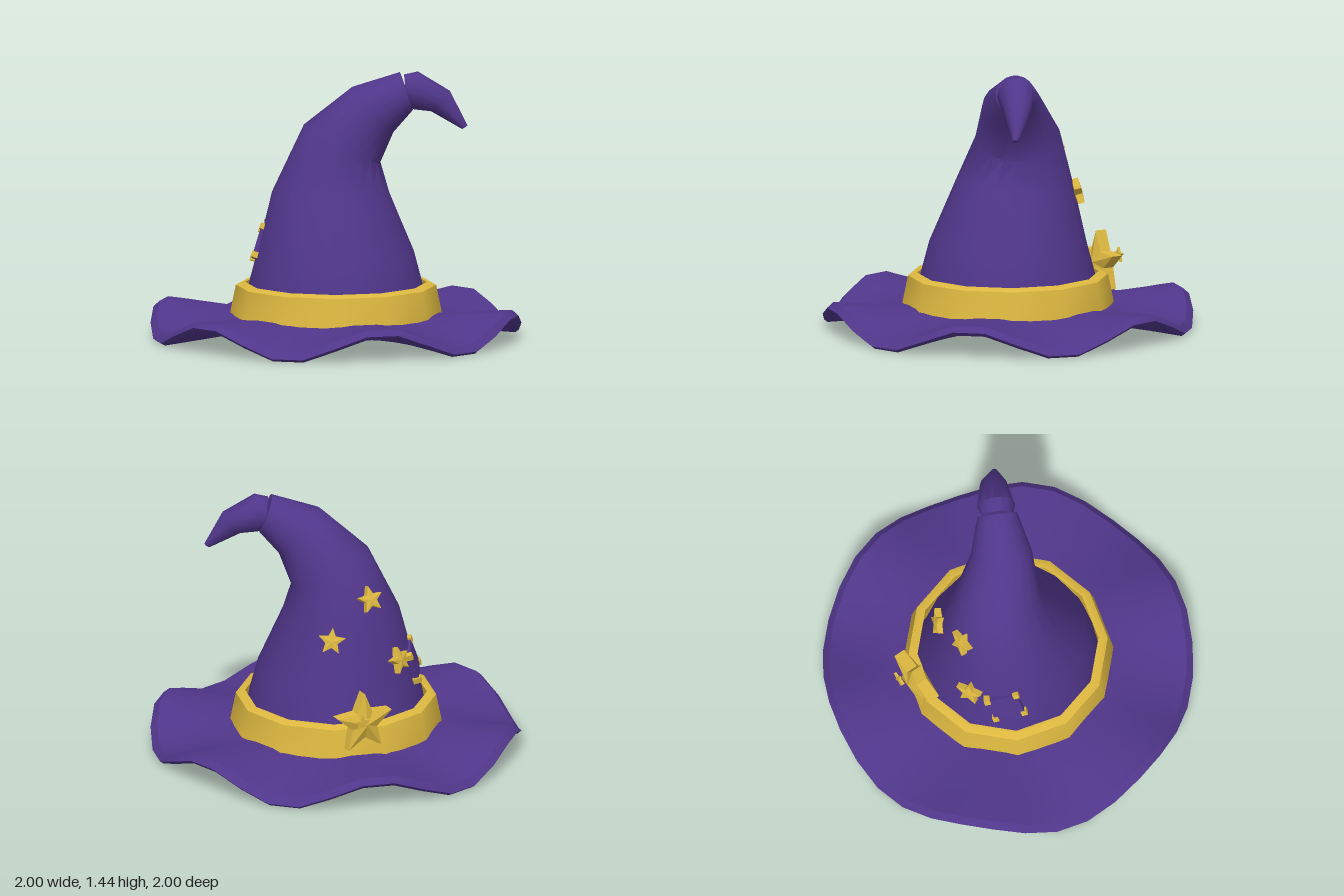
import * as THREE from 'three';
import { toCreasedNormals } from 'three/addons/utils/BufferGeometryUtils.js';

const purple = new THREE.MeshStandardMaterial({ color: 0x50368a });
purple.name = 'purple felt';
const gold = new THREE.MeshStandardMaterial({ color: 0xddb840 });
gold.name = 'gold';

const V = (x, y, z) => new THREE.Vector3(x, y, z);

// Skin a list of closed rings; point(i, angle) gives a vertex of ring i
function loft(ringCount, sides, point, crease) {
  const pos = [], index = [];
  for (let i = 0; i < ringCount; i++)
    for (let j = 0; j < sides; j++) pos.push(...point(i, (j / sides) * Math.PI * 2).toArray());
  for (let i = 0; i < ringCount - 1; i++)
    for (let j = 0; j < sides; j++) {
      const k = (j + 1) % sides;
      const a = i * sides + j, b = i * sides + k, c = b + sides, d = a + sides;
      index.push(a, b, c, a, c, d);
    }
  const g = new THREE.BufferGeometry();
  g.setAttribute('position', new THREE.Float32BufferAttribute(pos, 3));
  g.setIndex(index);
  return toCreasedNormals(g, crease);
}

// Bent cone: stations are [x, y, z, radius, axis]
function bentCone(stations, sides) {
  const rings = stations.map(([x, y, z, r, axis]) => ({
    c: V(x, y, z), r,
    q: new THREE.Quaternion().setFromUnitVectors(V(0, 1, 0), V(...axis).normalize()),
  }));
  return loft(rings.length, sides, (i, a) =>
    V(Math.sin(a), 0, Math.cos(a)).multiplyScalar(rings[i].r).applyQuaternion(rings[i].q).add(rings[i].c), 0.75);
}

// Five-pointed star with a straight rim and a raised centre on both faces
function starGeometry(radius, rim, bulge) {
  const pts = [], tri = (...v) => v.forEach((p) => pts.push(p.x, p.y, p.z));
  const corner = (i, z) => {
    const r = i % 2 ? radius * 0.45 : radius, a = Math.PI / 2 + (i * Math.PI) / 5;
    return V(r * Math.cos(a), r * Math.sin(a), z);
  };
  for (let i = 0; i < 10; i++) {
    const f0 = corner(i, rim), f1 = corner(i + 1, rim), b0 = corner(i, -rim), b1 = corner(i + 1, -rim);
    tri(f0, f1, V(0, 0, bulge));
    tri(b1, b0, V(0, 0, -bulge));
    tri(b0, b1, f1);
    tri(b0, f1, f0);
  }
  const g = new THREE.BufferGeometry();
  g.setAttribute('position', new THREE.Float32BufferAttribute(pts, 3));
  g.computeVertexNormals();
  return g;
}

export function createModel() {
  const hat = new THREE.Group();
  hat.name = 'pointedHat';
  const add = (parent, name, geometry, material) => {
    const m = new THREE.Mesh(geometry, material);
    m.name = name;
    parent.add(m);
    return m;
  };
  // Place a part so its face looks along a normal
  const face = (obj, position, normal, roll = 0) => {
    obj.position.set(...position);
    obj.lookAt(V(...position).add(V(...normal)));
    obj.rotateZ(roll);
  };

  // Wavy brim: closed [radius, height] profile, six waves growing outwards
  const radii = [0.5, 0.6, 0.7, 0.8, 0.9];
  const brim = [
    ...radii.map((r) => [r, 0.065 - 0.02 * (1 - r)]),
    [0.98, 0.065], [1, 0.082], [0.965, 0.117],
    ...radii.map((r) => [r, 0.117 + 0.046 * (1 - r)]).reverse(),
    [0.5, 0.055],
  ];
  add(hat, 'brim', loft(brim.length, 36, (i, a) => {
    const [r, y] = brim[i], wave = 0.073 * (r - 0.5) / 0.5;
    return V(r * Math.sin(a), y - wave * Math.sin(6 * a), r * Math.cos(a));
  }, 0.6), purple);

  // Crown, leaning over towards the tip
  add(hat, 'crown', bentCone([
    [0, 0.09, 0, 0.001, [0, 1, 0]],
    [0, 0.09, 0, 0.508, [0, 1, 0]],
    [0, 0.3, 0, 0.47, [0, 1, 0]],
    [0, 0.47, 0, 0.425, [0, 1, 0]],
    [-0.005, 0.79, -0.05, 0.317, [0.03, 1, -0.06]],
    [0.055, 1.05, -0.03, 0.23, [0.4, 1, 0.27]],
    [0.18, 1.24, 0.085, 0.165, [0.85, 0.9, 0.5]],
    [0.34, 1.34, 0.17, 0.108, [0.85, 0.33, 0.45]],
    [0.34, 1.34, 0.17, 0.001, [0.85, 0.33, 0.45]],
  ], 20), purple);

  // Drooping tip
  add(hat, 'tip', bentCone([
    [0.335, 1.345, 0.17, 0.001, [0.87, 0.1, 0.48]],
    [0.335, 1.345, 0.17, 0.085, [0.87, 0.1, 0.48]],
    [0.385, 1.343, 0.195, 0.103, [0.87, -0.1, 0.48]],
    [0.5, 1.285, 0.26, 0.075, [0.7, -0.75, 0.42]],
    [0.605, 1.145, 0.34, 0.018, [0.5, -1, 0.35]],
    [0.605, 1.145, 0.34, 0.001, [0.5, -1, 0.35]],
  ], 14), purple);

  // Twelve-sided band around the base
  const band = [[0.5, 0.13], [0.572, 0.13], [0.54, 0.288], [0.505, 0.303], [0.49, 0.303], [0.5, 0.13]];
  add(hat, 'band', loft(band.length, 12, (i, a) =>
    V(band[i][0] * Math.sin(a), band[i][1], band[i][0] * Math.cos(a)), 0.58), gold);

  // Large star on the back of the band, with a small charm behind it
  face(add(hat, 'bandStar', starGeometry(0.172, 0.032, 0.06), gold), [0.12, 0.327, -0.518], [0, 0, -1]);
  face(add(hat, 'starCharm', starGeometry(0.043, 0.008, 0.009), gold), [0.165, 0.36, -0.602], [0, 0, -1]);

  // Small stars scattered over the crown
  const small = starGeometry(0.075, 0.018, 0.024);
  [
    [[-0.03, 0.942, -0.328], [0, 0.36, -1], 0.1],
    [[0.2, 0.74, -0.32], [0.45, 0.25, -0.89], -0.1],
    [[-0.178, 0.582, -0.382], [-0.46, 0.28, -0.89], 0.1],
  ].forEach(([p, n, roll], i) => face(add(hat, 'crownStar' + (i + 1), small, gold), p, n, roll));

  // Sewn patch with a gold stud at each corner
  const patch = new THREE.Group();
  patch.name = 'patch';
  hat.add(patch);
  face(patch, [-0.333, 0.51, -0.252], [-0.85, 0.3, -0.53], 0.27);
  add(patch, 'patchCloth', new THREE.BoxGeometry(0.17, 0.17, 0.03), purple);
  const stud = new THREE.BoxGeometry(0.032, 0.032, 0.045);
  for (const x of [-0.08, 0.08])
    for (const y of [-0.08, 0.08]) add(patch, 'patchStud', stud, gold).position.set(x, y, 0);

  return hat;
}
